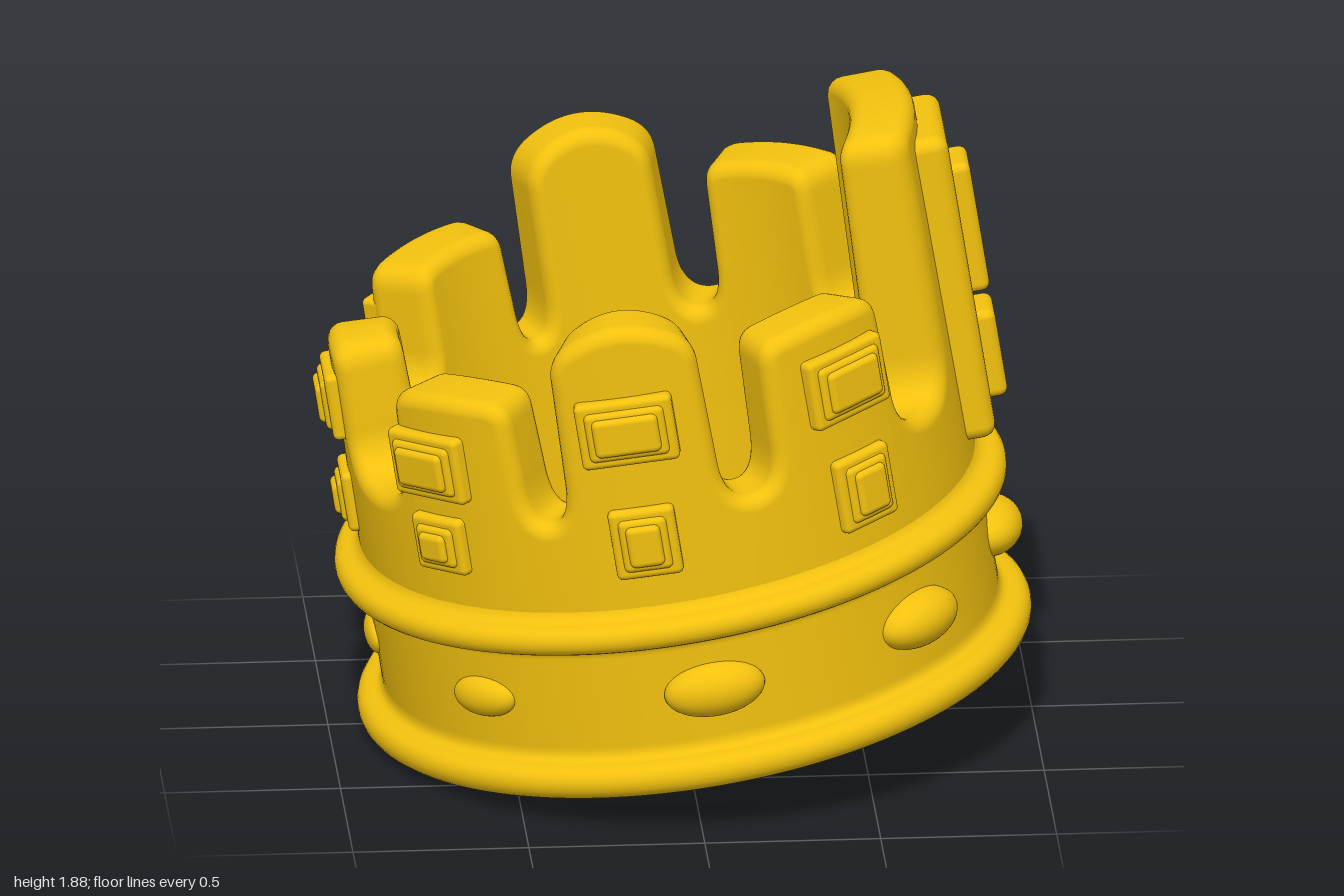
import * as THREE from 'three';
import { RoundedBoxGeometry } from 'three/addons/geometries/RoundedBoxGeometry.js';

const gold = new THREE.MeshStandardMaterial({ color: 0xf2c10e });
const DEG = Math.PI / 180;
const R = 0.885;            // outer wall radius
const FLOOR = 0.82;         // bottom of the gaps between prongs
const WALL_BASE = 0.5;

// Prongs round the ring in degrees: start, end, top height, arch of the top
const half = [[39, 69, 1.265, 0.015], [80, 110, 1.4, 0.08], [118.5, 148, 1.195, 0.015]];
const prongs = [
  ...half,
  [170, 190, 1.2, 0.01],
  ...half.map(([a, b, h, c]) => [360 - b, 360 - a, h, c]).reverse(),
  [340, 380, 1.625, 0.03],
];

function add(parent, name, geometry) {
  const mesh = new THREE.Mesh(geometry, gold);
  mesh.name = name;
  parent.add(mesh);
  return mesh;
}

// Group on the ring whose local +z points outwards
function onRing(parent, name, deg, height) {
  const g = new THREE.Group();
  g.name = name;
  g.rotation.y = (90 - deg) * DEG;
  g.position.y = height;
  parent.add(g);
  return g;
}

// Band with the bottom rim and the raised middle ring
function bandGeometry() {
  const p = new THREE.Path();
  p.moveTo(0.66, 0.52);
  p.lineTo(0.645, 0.14);
  p.quadraticCurveTo(0.65, 0, 0.75, 0);
  p.lineTo(0.91, 0);
  p.bezierCurveTo(0.985, 0, 0.985, 0.1, 0.92, 0.1);
  p.quadraticCurveTo(R, 0.1, R, 0.14);
  p.lineTo(R, 0.41);
  p.quadraticCurveTo(R, 0.445, 0.92, 0.445);
  p.bezierCurveTo(0.98, 0.445, 0.98, 0.53, 0.92, 0.53);
  p.quadraticCurveTo(R + 0.005, 0.535, R - 0.005, 0.57);
  return new THREE.LatheGeometry(p.getPoints(10), 128);
}

// Unrolled top edge of the wall: arc length across, height up
function wallOutline() {
  const p = new THREE.Path();
  const arc = (deg) => deg * DEG * R;
  const gapMid = (i) => {
    const n = prongs.length;
    if (i < 0) return arc((prongs[n - 1][1] - 360 + prongs[0][0]) / 2);
    const next = i === n - 1 ? prongs[0][0] + 360 : prongs[i + 1][0];
    return arc((prongs[i][1] + next) / 2);
  };
  const c = 0.07, lean = 0.008;
  p.moveTo(gapMid(-1), FLOOR);
  prongs.forEach(([d0, d1, top, arch], i) => {
    const a = arc(d0), b = arc(d1), a1 = a + lean, b1 = b - lean;
    const slope = arch / ((b1 - a1) / 2 - c);
    const shoulder = top - arch / 2, corner = shoulder - c * slope;
    p.quadraticCurveTo(a, FLOOR, a, FLOOR + 0.13);
    p.lineTo(a1, corner - c);
    p.quadraticCurveTo(a1, corner, a1 + c, shoulder);
    p.quadraticCurveTo((a + b) / 2, top + arch / 2, b1 - c, shoulder);
    p.quadraticCurveTo(b1, corner, b1, corner - c);
    p.lineTo(b, FLOOR + 0.13);
    p.quadraticCurveTo(b, FLOOR, gapMid(i), FLOOR);
  });
  return p.getSpacedPoints(900).slice(0, -1);
}

// Pronged wall: the outline is rolled round the ring with rounded edges
function wallGeometry() {
  const pts = wallOutline(), n = pts.length, bevel = 0.045, steps = 5;
  const turn = 2 * Math.PI * R;
  // rows from outer foot over the edge to inner foot: [inset, depth, side]
  const edge = [];
  for (let k = 0; k <= steps; k++) {
    const f = (k / steps) * Math.PI / 2;
    edge.push([bevel * (1 - Math.sin(f)), bevel * (1 - Math.cos(f))]);
  }
  const rows = [
    { inset: bevel, depth: 0, outer: true, foot: true },
    ...edge.map(([inset, depth]) => ({ inset, depth, outer: true })),
    ...edge.reverse().map(([inset, depth]) => ({ inset, depth, outer: false })),
    { inset: bevel, depth: 0, outer: false, foot: true },
  ];
  // keeps the sides of the tall prong parallel towards the inside
  const widen = (angle, t) => {
    let d = angle / DEG;
    d = ((d + 180) % 360 + 360) % 360 - 180;
    const s = Math.sign(d), a = Math.abs(d), k = 1 + 0.3 * t;
    if (a < 20) return s * a * k * DEG;
    if (a < 39) return s * (20 * k + (a - 20) * (39 - 20 * k) / 19) * DEG;
    return d * DEG;
  };
  const pos = [], index = [];
  for (const row of rows) {
    for (let i = 0; i < n; i++) {
      const prev = pts[(i + n - 1) % n], next = pts[(i + 1) % n];
      let tx = next.x - prev.x;
      if (tx < -1) tx += turn;
      const ty = next.y - prev.y, len = Math.hypot(tx, ty);
      const s = pts[i].x + (ty / len) * row.inset;
      const v = row.foot ? WALL_BASE : pts[i].y - (tx / len) * row.inset;
      const r = row.outer
        ? R - 0.01 * (v - 0.5) - row.depth
        : 0.66 + 0.025 * (v - 0.5) + row.depth;
      const angle = widen(s / R, (R - r) / (R - 0.66));
      pos.push(r * Math.cos(angle), v, r * Math.sin(angle));
    }
  }
  for (let j = 0; j < rows.length - 1; j++) {
    for (let i = 0; i < n; i++) {
      const i2 = (i + 1) % n, a = j * n + i, b = j * n + i2;
      index.push(a, a + n, b, b, a + n, b + n);
    }
  }
  const g = new THREE.BufferGeometry();
  g.setAttribute('position', new THREE.Float32BufferAttribute(pos, 3));
  g.setIndex(index);
  g.computeVertexNormals();
  return g;
}

// Rounded plate whose front face lies at the given radius
function plate(parent, name, w, h, face, y = 0, depth = 0.12, round = 0.018) {
  add(parent, name, new RoundedBoxGeometry(w, h, depth, 3, round)).position.set(0, y, face - depth / 2);
}

// Stepped rectangular jewel
function jewel(parent, name, deg, height, w, h) {
  const g = onRing(parent, name, deg, height);
  plate(g, 'jewelSetting', w, h, 0.908);
  plate(g, 'jewelStep', w - 0.05, h - 0.05, 0.922);
  plate(g, 'jewelStone', w - 0.09, h - 0.085, 0.938);
}

export function createModel() {
  const model = new THREE.Group();
  model.name = 'crown';
  const crown = new THREE.Group();
  crown.name = 'tiltedCrown';
  crown.rotation.z = 9 * DEG;
  crown.position.set(0.05, 0.142, 0);
  model.add(crown);

  add(crown, 'band', bandGeometry());
  add(crown, 'prongWall', wallGeometry());

  // Oval stones round the band: angle, size, radial depth
  const ovals = [[0, 1, 0.1], [44, 1, 0.09], [88, 1, 0.075], [134, 0.75, 0.05], [180, 0.7, 0.035],
    [-44, 1, 0.09], [-88, 1, 0.075], [-134, 0.95, 0.06]];
  for (const [deg, s, depth] of ovals) {
    const g = onRing(crown, 'ovalStone', deg, 0.28);
    const stone = add(g, 'stone', new THREE.SphereGeometry(1, 32, 20));
    stone.scale.set(0.145 * s, 0.08 * s, depth);
    stone.position.z = R - 0.005;
  }

  // Jewels on the short prongs: angle, upper (height, w, h), lower (height, w, h)
  const sets = [
    [52, 1.062, 0.28, 0.21, 0.735, 0.2, 0.22],
    [96, 1.098, 0.28, 0.2, 0.757, 0.19, 0.21],
    [138, 0.985, 0.27, 0.2, 0.745, 0.19, 0.17],
    [180, 1.01, 0.22, 0.2, 0.71, 0.18, 0.18],
  ];
  for (const [deg, y1, w1, h1, y2, w2, h2] of sets) {
    for (const a of deg === 180 ? [180] : [deg, -deg]) {
      jewel(crown, 'upperJewel', a, y1, w1, h1);
      jewel(crown, 'lowerJewel', a, y2, w2, h2);
    }
  }

  // Tall prong plate with its two long stones
  const tall = onRing(crown, 'tallPlate', 0, 0);
  plate(tall, 'backPlate', 0.395, 0.93, 0.948, 1.075, 0.16, 0.04);
  plate(tall, 'upperLongStone', 0.17, 0.395, 1.0, 1.21, 0.12, 0.025);
  plate(tall, 'lowerLongStone', 0.17, 0.265, 1.0, 0.82, 0.12, 0.025);
  return model;
}
